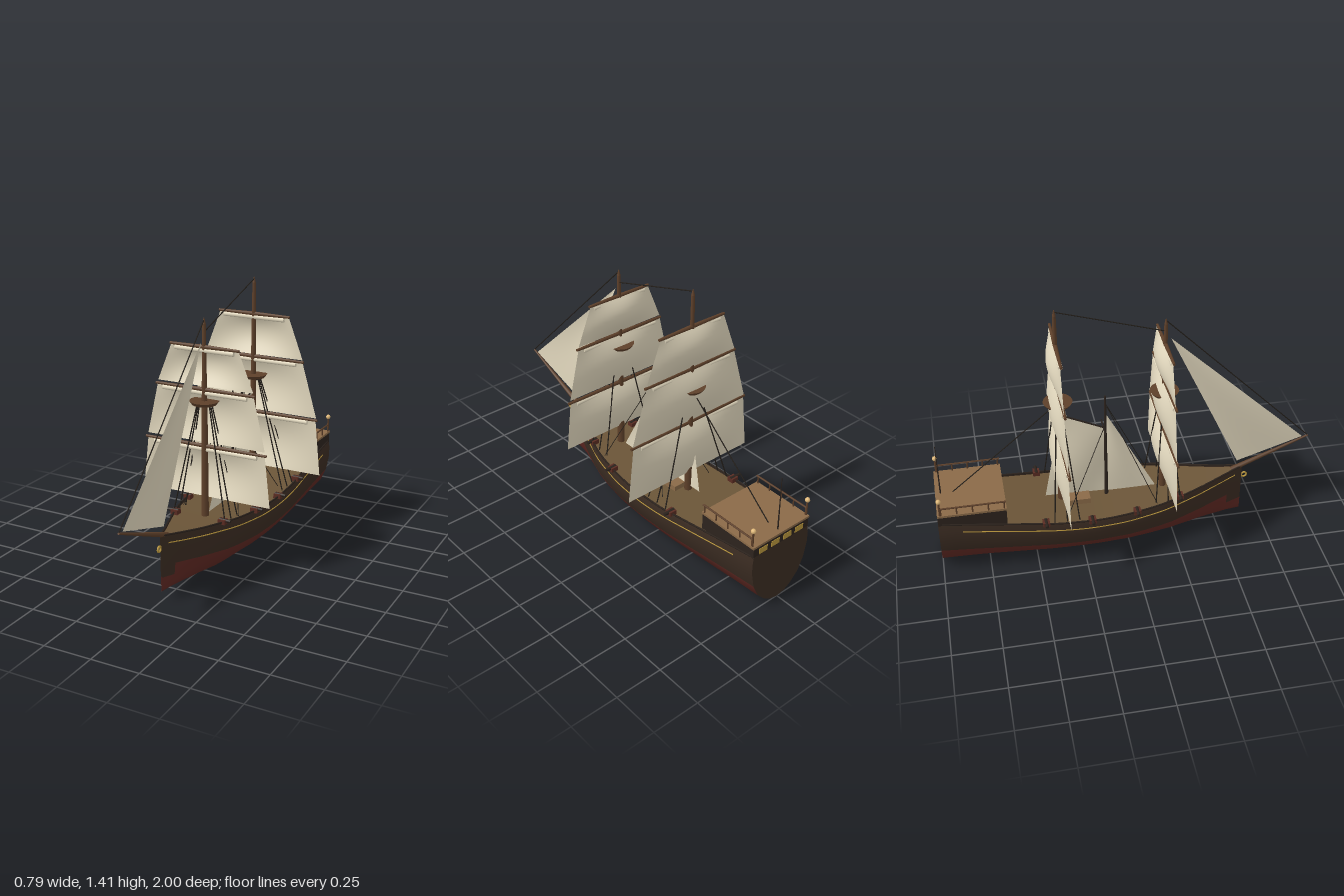
import * as THREE from 'three';

const mat = (color, side = THREE.FrontSide) => new THREE.MeshStandardMaterial({ color, side });
const HULL = mat(0x3b2c22, THREE.DoubleSide), RED = mat(0x5e2822, THREE.DoubleSide);
const DECK = mat(0x6b5538, THREE.DoubleSide), ROOF = mat(0x8a6a48), WOOD = mat(0x5e402a);
const DARK = mat(0x2c231d), ROPE = mat(0x241f1a), SAIL = mat(0xe0d6bc, THREE.DoubleSide);
const GOLD = mat(0xb8953c), LAMP = mat(0xe0b878), CARRIAGE = mat(0x5a2c22);
const V = (x, y, z) => new THREE.Vector3(x, y, z);

export function createModel() {
  const ship = new THREE.Group();
  ship.name = 'sailingShip';

  const add = (name, geo, material, x = 0, y = 0, z = 0, parent = ship) => {
    const m = new THREE.Mesh(geo, material);
    m.name = name;
    m.position.set(x, y, z);
    parent.add(m);
    return m;
  };
  const box = (name, w, h, d, material, x, y, z) =>
    add(name, new THREE.BoxGeometry(w, h, d), material, x, y, z);

  // Tapered round bar between two points
  const bar = (name, a, b, r0, r1, material, sides = 8) => {
    const d = b.clone().sub(a);
    const m = add(name, new THREE.CylinderGeometry(r1, r0, d.length(), sides), material);
    m.position.copy(a).addScaledVector(d, 0.5);
    m.quaternion.setFromUnitVectors(V(0, 1, 0), d.normalize());
    return m;
  };
  const rope = (name, a, b, r = 0.003) => bar(name, a, b, r, r, ROPE, 5);

  // Indexed surface over a grid; fn(u, v) gives a point, red(centre) picks the second material
  const surface = (nu, nv, fn, red) => {
    const pos = [], idx = [[], []], g = new THREE.BufferGeometry();
    for (let i = 0; i <= nu; i++)
      for (let j = 0; j <= nv; j++) pos.push(...fn(i / nu, j / nv).toArray());
    for (let i = 0; i < nu; i++)
      for (let j = 0; j < nv; j++) {
        const a = i * (nv + 1) + j, c = a + nv + 1;
        const y = (pos[a * 3 + 1] + pos[a * 3 + 4] + pos[c * 3 + 1] + pos[c * 3 + 4]) / 4;
        idx[red && red(y) ? 1 : 0].push(a, a + 1, c, c, a + 1, c + 1);
      }
    g.setAttribute('position', new THREE.Float32BufferAttribute(pos, 3));
    g.setIndex([...idx[0], ...idx[1]]);
    g.addGroup(0, idx[0].length, 0);
    g.addGroup(idx[0].length, idx[1].length, 1);
    g.computeVertexNormals();
    return g;
  };

  // Hull stations: z, half width, keel height, rim height
  const stations = [
    [0.64, 0.004, 0.05, 0.345], [0.5, 0.055, 0.034, 0.322], [0.4, 0.097, 0.022, 0.31],
    [0.2, 0.172, 0, 0.293], [0, 0.214, 0, 0.281], [-0.2, 0.229, 0, 0.277], [-0.4, 0.228, 0, 0.287],
    [-0.65, 0.21, 0, 0.31], [-0.85, 0.195, 0, 0.328], [-1, 0.187, 0, 0.342]];
  const station = (z) => {
    let i = 0;
    while (i < stations.length - 2 && z < stations[i + 1][0]) i++;
    const a = stations[i], b = stations[i + 1], t = (a[0] - z) / (a[0] - b[0]);
    return a.map((v, k) => v + (b[k] - v) * t);
  };
  // Half section: fraction of width, fraction of height, keel to rim
  const section = [[0, 0], [0.25, 0.025], [0.47, 0.095], [0.74, 0.25], [0.91, 0.46], [1, 0.72], [1, 0.88], [0.97, 1]];
  const n = section.length - 1;
  const hullPoint = (u, v) => {
    const [z, w, y0, y1] = station(0.64 - 1.64 * u);
    const j = Math.round(v * 2 * n) - n, [sx, sy] = section[Math.abs(j)];
    return V(-Math.sign(j) * sx * w, y0 + (y1 - y0) * sy, z);
  };
  add('hull', surface(20, 2 * n, hullPoint, (y) => y < 0.145), [HULL, RED]);
  add('deck', surface(20, 1, (u, v) => {
    const [z, w, , y1] = station(0.63 - 1.62 * u);
    return V((v * 2 - 1) * w * 0.96, y1 - 0.012, z);
  }), DECK);
  const transom = new THREE.Shape();
  for (let j = 0; j <= 2 * n; j++) {
    const p = hullPoint(1, j / (2 * n));
    j ? transom.lineTo(p.x, p.y) : transom.moveTo(p.x, p.y);
  }
  add('transom', new THREE.ShapeGeometry(transom), HULL, 0, 0, -1);

  // Gold stripe and raised rim along each side
  for (const s of [-1, 1]) {
    const line = (drop, k, z0, z1) => new THREE.CatmullRomCurve3(Array.from({ length: 15 }, (_, i) => {
      const [z, w, , y1] = station(z0 + (z1 - z0) * i / 14);
      return V(s * w * k, y1 - drop, z);
    }));
    add('hullStripe', new THREE.TubeGeometry(line(0.043, 1.003, 0.6, -0.88), 40, 0.003, 5), GOLD);
    add('hullRim', new THREE.TubeGeometry(line(0, 0.97, 0.64, -0.98), 40, 0.005, 5), DARK);
  }

  // Stern cabin with roof, windows, railing and lanterns
  box('cabin', 0.366, 0.1, 0.348, DARK, 0, 0.342, -0.824);
  box('cabinRoof', 0.374, 0.012, 0.352, ROOF, 0, 0.395, -0.824);
  for (let i = 0; i < 4; i++) box('sternWindow', 0.055, 0.032, 0.006, GOLD, -0.12 + i * 0.08, 0.36, -0.997);
  for (const s of [-1, 1]) {
    for (let i = 0; i < 5; i++)
      bar('railPost', V(s * 0.18, 0.4, -0.66 - i * 0.08), V(s * 0.18, 0.442, -0.66 - i * 0.08), 0.004, 0.004, WOOD, 6);
    bar('rail', V(s * 0.18, 0.442, -0.65), V(s * 0.18, 0.442, -0.985), 0.005, 0.005, WOOD, 6);
    bar('lanternPost', V(s * 0.18, 0.4, -0.985), V(s * 0.18, 0.48, -0.985), 0.005, 0.005, WOOD, 6);
    add('lantern', new THREE.SphereGeometry(0.013, 12, 8), LAMP, s * 0.18, 0.49, -0.985);
  }
  bar('flagpole', V(0, 0.4, -0.972), V(0, 0.7, -0.972), 0.004, 0.002, DARK, 6);
  box('hatch', 0.135, 0.03, 0.12, ROOF, 0, 0.283, -0.26);

  // Cannons
  for (const z of [0.265, 0.025, -0.215, -0.455])
    for (const s of [-1, 1]) {
      const [, w, , y] = station(z);
      box('cannonCarriage', 0.04, 0.024, 0.036, CARRIAGE, s * (w - 0.012), y + 0.002, z);
      bar('cannonBarrel', V(s * (w - 0.03), y + 0.008, z), V(s * (w + 0.032), y + 0.008, z), 0.011, 0.008, DARK, 8);
    }

  // Square-rigged masts. Each yard: height, yard half length, foot half width, foot height
  const masts = [
    { name: 'foreMast', z: 0.2, top: 1.31, spread: 0.15,
      yards: [[0.657, 0.34, 0.36, 0.385], [0.95, 0.275, 0.33, 0.675], [1.165, 0.19, 0.265, 0.965]] },
    { name: 'mainMast', z: -0.345, top: 1.415, spread: 0.21,
      yards: [[0.685, 0.375, 0.395, 0.38], [0.99, 0.29, 0.367, 0.695], [1.22, 0.205, 0.282, 1.0]] }];
  for (const { name, z, top, spread, yards } of masts) {
    bar(name, V(0, 0.26, z), V(0, 0.9, z), 0.02, 0.015, WOOD, 10);
    bar(name + 'Upper', V(0, 0.9, z), V(0, top - 0.03, z), 0.014, 0.009, WOOD, 10);
    bar(name + 'Tip', V(0, top - 0.03, z), V(0, top, z), 0.009, 0.002, WOOD, 10);
    add('mastPlatform', new THREE.CylinderGeometry(0.075, 0.062, 0.018, 16), WOOD, 0, 0.885, z);
    for (const [y, half, foot, y1] of yards) {
      bar('yard', V(-half, y, z), V(0, y, z), 0.007, 0.011, WOOD);
      bar('yard', V(0, y, z), V(half, y, z), 0.011, 0.007, WOOD);
      bar('sailRoll', V(-half * 0.85, y - 0.018, z), V(half * 0.85, y - 0.018, z), 0.012, 0.012, SAIL);
      add('squareSail', surface(16, 12, (u, v) => {
        const w = half * 0.97 + (foot - half * 0.97) * v;
        const belly = Math.sin(Math.PI * u) * Math.sin(Math.PI * Math.pow(v, 0.9));
        return V((u * 2 - 1) * w, y + (y1 - y) * v, z - 0.004 - 0.043 * belly);
      }), SAIL);
    }
    for (const s of [-1, 1])
      for (const dz of [0.065, 0, -0.065])
        rope('shroud', V(s * 0.035, 0.87, z + dz * 0.2), V(s * spread, 0.285, z + dz), 0.0035);
  }

  // Small middle mast with spreader and gaff
  bar('middleMast', V(0, 0.26, -0.105), V(0, 0.895, -0.105), 0.011, 0.005, DARK);
  bar('spreader', V(-0.07, 0.7, -0.115), V(0.07, 0.7, -0.115), 0.004, 0.004, DARK, 6);
  bar('gaff', V(0, 0.7, -0.11), V(0, 0.81, -0.34), 0.005, 0.005, DARK, 6);
  for (const s of [-1, 1]) {
    rope('middleShroud', V(0, 0.85, -0.105), V(s * 0.16, 0.285, 0.14), 0.002);
    rope('middleShroud', V(0, 0.72, -0.105), V(s * 0.16, 0.285, -0.33), 0.002);
  }

  // Fore-and-aft sails from four corners, bulging sideways
  const foreAft = (name, a, b, c, d, bulge) => add(name, surface(10, 10, (u, v) => {
    const p = a.clone().lerp(b, u).lerp(d.clone().lerp(c, u), v);
    p.x += bulge * Math.sin(Math.PI * u) * Math.sin(Math.PI * v);
    return p;
  }), SAIL);
  const peak = V(0, 1.195, 0.228), stayPeak = V(0, 0.79, -0.105);
  foreAft('jib', peak, peak, V(0, 0.38, 0.61), V(0, 0.495, 0.965), -0.012);
  foreAft('staysail', stayPeak, stayPeak, V(0, 0.285, -0.108), V(0, 0.285, 0.16), -0.012);
  foreAft('gaffSail', V(0, 0.7, -0.112), V(0, 0.81, -0.335), V(0, 0.3, -0.43), V(0, 0.29, -0.112), -0.025);

  // Bowsprit, bow ornament and stays
  bar('bowsprit', V(0, 0.325, 0.58), V(0, 0.498, 0.998), 0.014, 0.005, WOOD);
  add('bowOrnament', new THREE.TorusGeometry(0.014, 0.005, 8, 16), GOLD, 0, 0.28, 0.655).rotation.y = Math.PI / 2;
  rope('foreStay', V(0, 1.3, 0.2), V(0, 0.5, 0.995));
  rope('topStay', V(0, 1.24, 0.2), V(0, 1.405, -0.345));
  rope('backStay', V(0, 0.88, -0.35), V(0, 0.4, -0.91));
  return ship;
}
